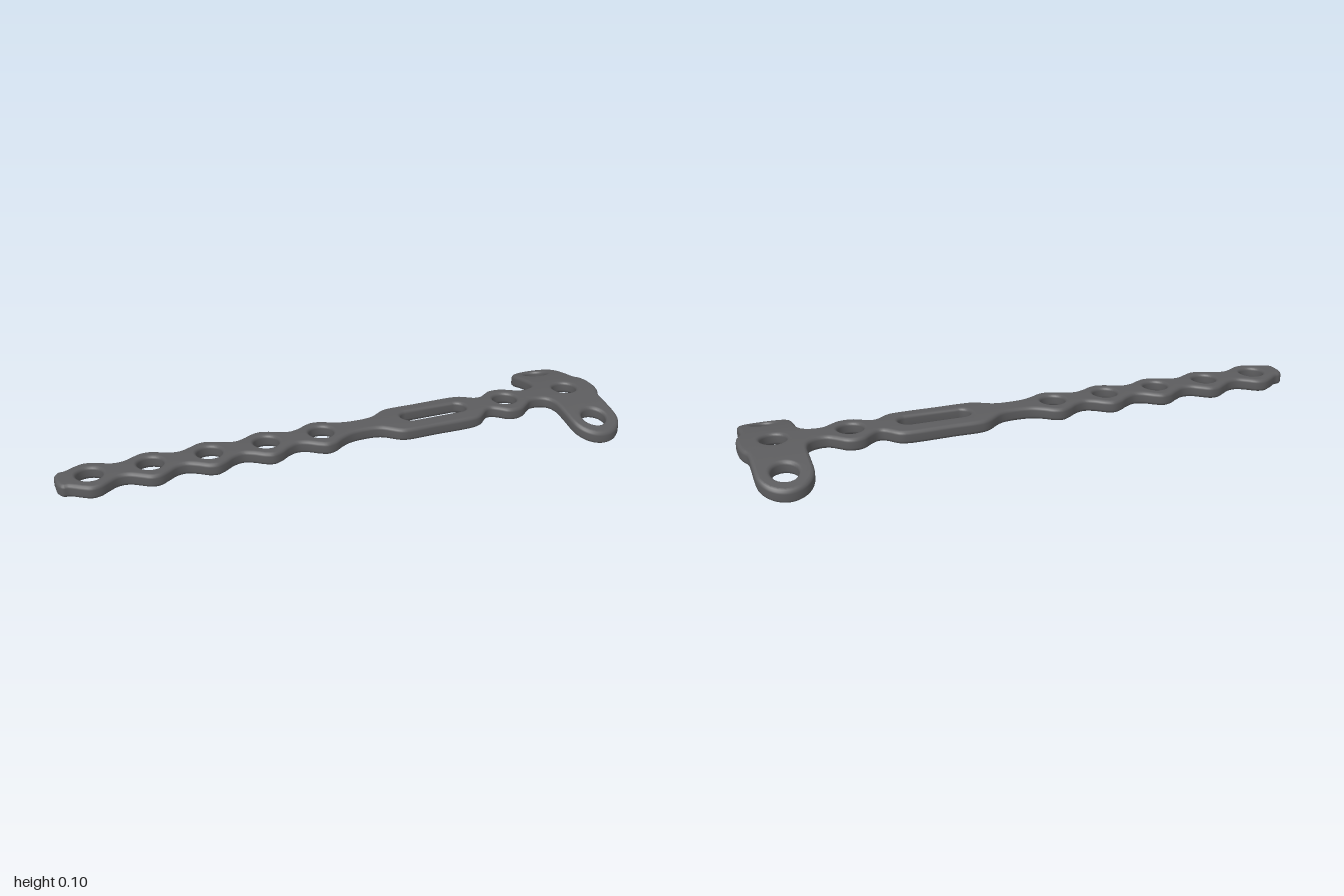
import * as THREE from 'three';
import { mergeVertices } from 'three/addons/utils/BufferGeometryUtils.js';

const THICKNESS = 0.045, BEVEL = 0.012, BASE = 0.055, CURVE = 0.665;

// half of the plate outline as [x, half width], from the tail to the head
function halfOutline() {
  const pts = [[-1, 0], [-0.999, 0.028], [-0.985, 0.05]];
  // scalloped chain around five screw holes
  for (let i = 0; i <= 30; i++) {
    const x = -0.965 + i * (0.965 / 30);
    pts.push([x, 0.068 + 0.021 * Math.cos((x + 0.09) * Math.PI * 10)]);
  }
  // plain neck, slot body, single hole, fillet into the cross bar
  pts.push([0.03, 0.042], [0.09, 0.042], [0.12, 0.05], [0.17, 0.085], [0.2, 0.094],
    [0.3, 0.094], [0.46, 0.094], [0.49, 0.085], [0.53, 0.052], [0.55, 0.05], [0.575, 0.065],
    [0.6, 0.084], [0.63, 0.09], [0.66, 0.084], [0.69, 0.062], [0.715, 0.045], [0.75, 0.045],
    [0.778, 0.06], [0.79, 0.09], [0.791, 0.14]);
  // rounded bar end
  for (let i = 0; i <= 12; i++) {
    const a = Math.PI * (1 - i / 12);
    pts.push([0.883 + 0.092 * Math.cos(a), 0.2 + 0.092 * Math.sin(a)]);
  }
  // small bump at the head
  pts.push([0.976, 0.14], [0.979, 0.085], [0.992, 0.06], [0.999, 0.03], [1, 0]);
  const curve = new THREE.CatmullRomCurve3(
    pts.map(([x, y]) => new THREE.Vector3(x, y, 0)), false, 'centripetal');
  return curve.getPoints(260).map(p => new THREE.Vector2(p.x, p.y));
}

function plateShape() {
  const half = halfOutline();
  const other = half.slice(1, -1).reverse().map(p => new THREE.Vector2(p.x, -p.y));
  const shape = new THREE.Shape([...half, ...other].reverse());
  const holes = [-0.89, -0.69, -0.49, -0.29, -0.09, 0.63, 0.883].map(x => [x, 0]);
  holes.push([0.883, 0.203], [0.883, -0.203]);
  for (const [x, y] of holes) {
    const points = [];
    for (let i = 0; i < 32; i++) {
      const a = -i / 32 * Math.PI * 2;
      points.push(new THREE.Vector2(x + 0.044 * Math.cos(a), y + 0.044 * Math.sin(a)));
    }
    shape.holes.push(new THREE.Path(points));
  }
  // long slot
  const slot = [];
  for (let i = 0; i < 32; i++) {
    const a = -(i + 0.5) / 32 * Math.PI * 2;
    slot.push(new THREE.Vector2(
      (Math.cos(a) > 0 ? 0.432 : 0.25) + 0.036 * Math.cos(a), 0.036 * Math.sin(a)));
  }
  shape.holes.push(new THREE.Path(slot));
  return shape;
}

// split triangles until none spans much across the bend
function subdivideAcross(geometry, limit) {
  const pos = geometry.attributes.position, out = [];
  const split = tri => {
    let longest = 0, edge = -1;
    for (let i = 0; i < 3; i++) {
      const d = Math.abs(tri[i].z - tri[(i + 1) % 3].z);
      if (d > longest) { longest = d; edge = i; }
    }
    if (longest <= limit) {
      for (const p of tri) out.push(p.x, p.y, p.z);
      return;
    }
    const a = tri[edge], b = tri[(edge + 1) % 3], c = tri[(edge + 2) % 3];
    const mid = a.clone().add(b).multiplyScalar(0.5);
    split([a, mid, c]);
    split([mid, b, c]);
  };
  for (let i = 0; i < pos.count; i += 3) {
    split([0, 1, 2].map(k => new THREE.Vector3().fromBufferAttribute(pos, i + k)));
  }
  return new THREE.BufferGeometry().setAttribute('position', new THREE.Float32BufferAttribute(out, 3));
}

export function createModel() {
  const group = new THREE.Group();
  group.name = 'bonePlate';
  const darkMetal = new THREE.MeshStandardMaterial({ color: 0x5c5c5e });
  darkMetal.name = 'dark metal';

  const extruded = new THREE.ExtrudeGeometry(plateShape(), {
    depth: THICKNESS - 2 * BEVEL, steps: 1, curveSegments: 24,
    bevelEnabled: true, bevelThickness: BEVEL, bevelSize: BEVEL, bevelOffset: -BEVEL, bevelSegments: 3,
  });
  extruded.translate(0, 0, BEVEL).rotateX(-Math.PI / 2);

  // arch the plate so the bar ends drop
  let geometry = subdivideAcross(extruded, 0.03);
  const pos = geometry.attributes.position;
  for (let i = 0; i < pos.count; i++) {
    pos.setY(i, pos.getY(i) + BASE - CURVE * pos.getZ(i) ** 2);
  }
  geometry = mergeVertices(geometry, 1e-5);
  geometry.computeVertexNormals();

  const plate = new THREE.Mesh(geometry, darkMetal);
  plate.name = 'perforatedPlate';
  group.add(plate);
  return group;
}
